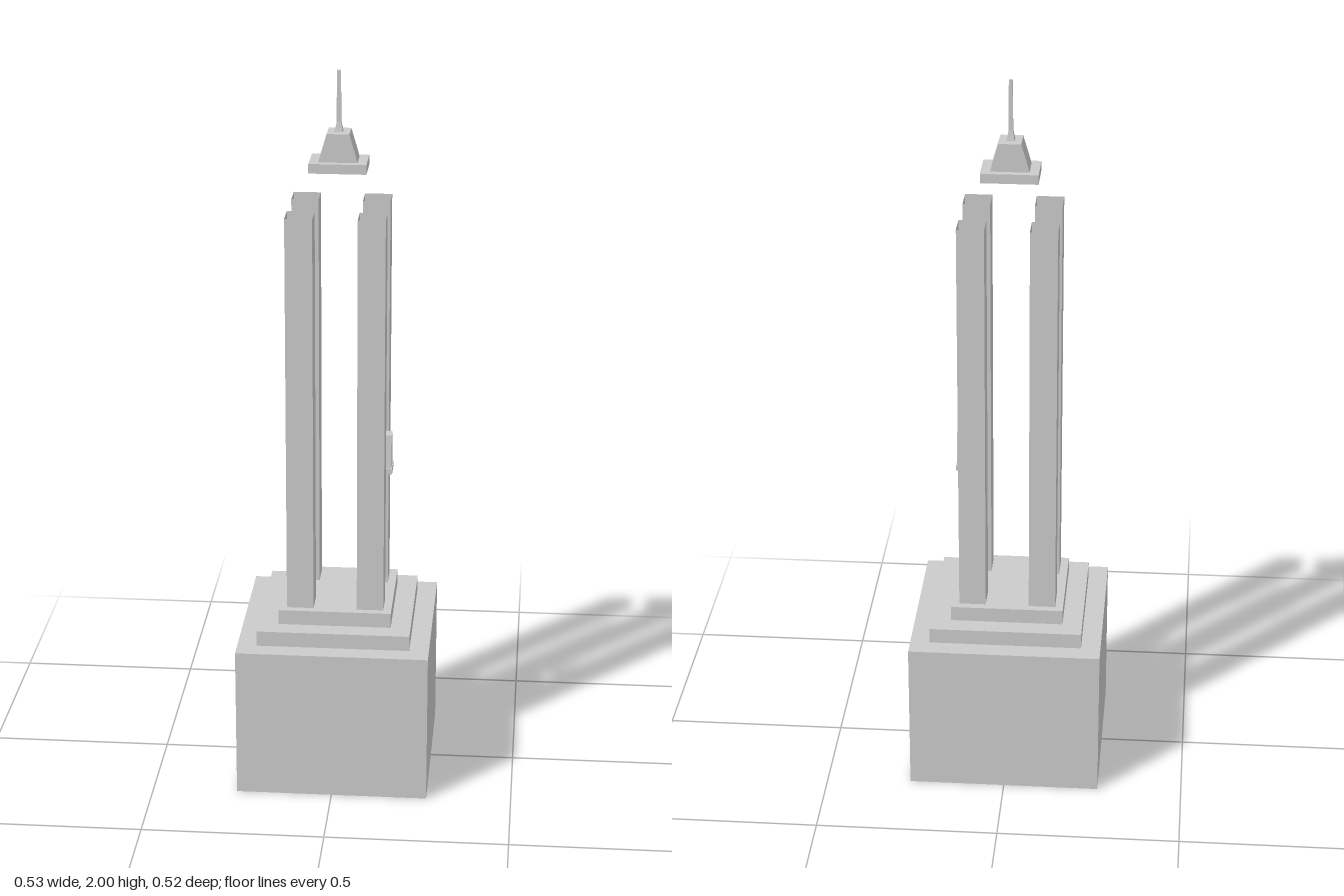
import * as THREE from 'three';

const material = new THREE.MeshStandardMaterial({
  color: 0xcccccc, flatShading: true, side: THREE.DoubleSide,
});

// Rectangular shell lofted through sections [y, halfX, halfZ]; halves of 0 close an end.
function shell(name, sections, x = 0, z = 0) {
  const signs = [[1, 1], [1, -1], [-1, -1], [-1, 1]];
  const positions = [];
  const corner = ([y, hx, hz], i) => [signs[i % 4][0] * hx, y, signs[i % 4][1] * hz];
  for (let s = 0; s < sections.length - 1; s++) {
    for (let i = 0; i < 4; i++) {
      const a = corner(sections[s], i), b = corner(sections[s], i + 1);
      const c = corner(sections[s + 1], i + 1), d = corner(sections[s + 1], i);
      if (sections[s][1] > 0) positions.push(...a, ...b, ...c);
      if (sections[s + 1][1] > 0) positions.push(...a, ...c, ...d);
    }
  }
  const geometry = new THREE.BufferGeometry();
  geometry.setAttribute('position', new THREE.Float32BufferAttribute(positions, 3));
  geometry.computeVertexNormals();
  const mesh = new THREE.Mesh(geometry, material);
  mesh.name = name;
  mesh.position.set(x, 0, z);
  return mesh;
}

export function createModel() {
  const model = new THREE.Group();
  model.name = 'tower';

  // Stepped base, open underneath
  model.add(shell('steppedBase', [
    [0, 0.265, 0.262], [0.426, 0.265, 0.262],
    [0.426, 0.211, 0.208], [0.469, 0.211, 0.208],
    [0.469, 0.156, 0.154], [0.511, 0.156, 0.154], [0.511, 0, 0],
  ]));

  // Four hollow corner columns, open on top
  for (const sx of [1, -1]) {
    for (const sz of [1, -1]) {
      const name = (sz > 0 ? 'front' : 'back') + (sx > 0 ? 'Left' : 'Right') + 'Column';
      model.add(shell(name, [[0.511, 0.037, 0.037], [1.63, 0.037, 0.037]], sx * 0.097, sz * 0.095));
    }
  }

  // Thin wall panel between the two columns on the left side
  const panel = new THREE.Mesh(new THREE.PlaneGeometry(0.117, 0.294), material);
  panel.name = 'sidePanel';
  panel.rotation.y = Math.PI / 2;
  panel.position.set(0.121, 0.658, 0.002);
  model.add(panel);

  // Small tapered hood above the panel
  model.add(shell('sideHood', [
    [0.893, 0.016, 0.028], [0.877, 0.016, 0.028], [0.877, 0.018, 0.034], [0.893, 0.018, 0.034],
    [0.893, 0.016, 0.028], [0.986, 0.016, 0.018], [0.986, 0, 0],
  ], 0.131));

  // Crown: flat rim with a tapered cap, hollow below
  model.add(shell('crown', [
    [1.759, 0.052, 0.036], [1.733, 0.052, 0.036], [1.733, 0.077, 0.055], [1.759, 0.077, 0.055],
    [1.759, 0.052, 0.036], [1.782, 0.046, 0.036], [1.836, 0.03, 0.036], [1.836, 0, 0],
  ]));

  // Square spire with a flared foot
  model.add(shell('spire', [
    [1.836, 0.011, 0.011], [1.862, 0.006, 0.006], [2, 0.005, 0.005], [2, 0, 0],
  ]));

  return model;
}
